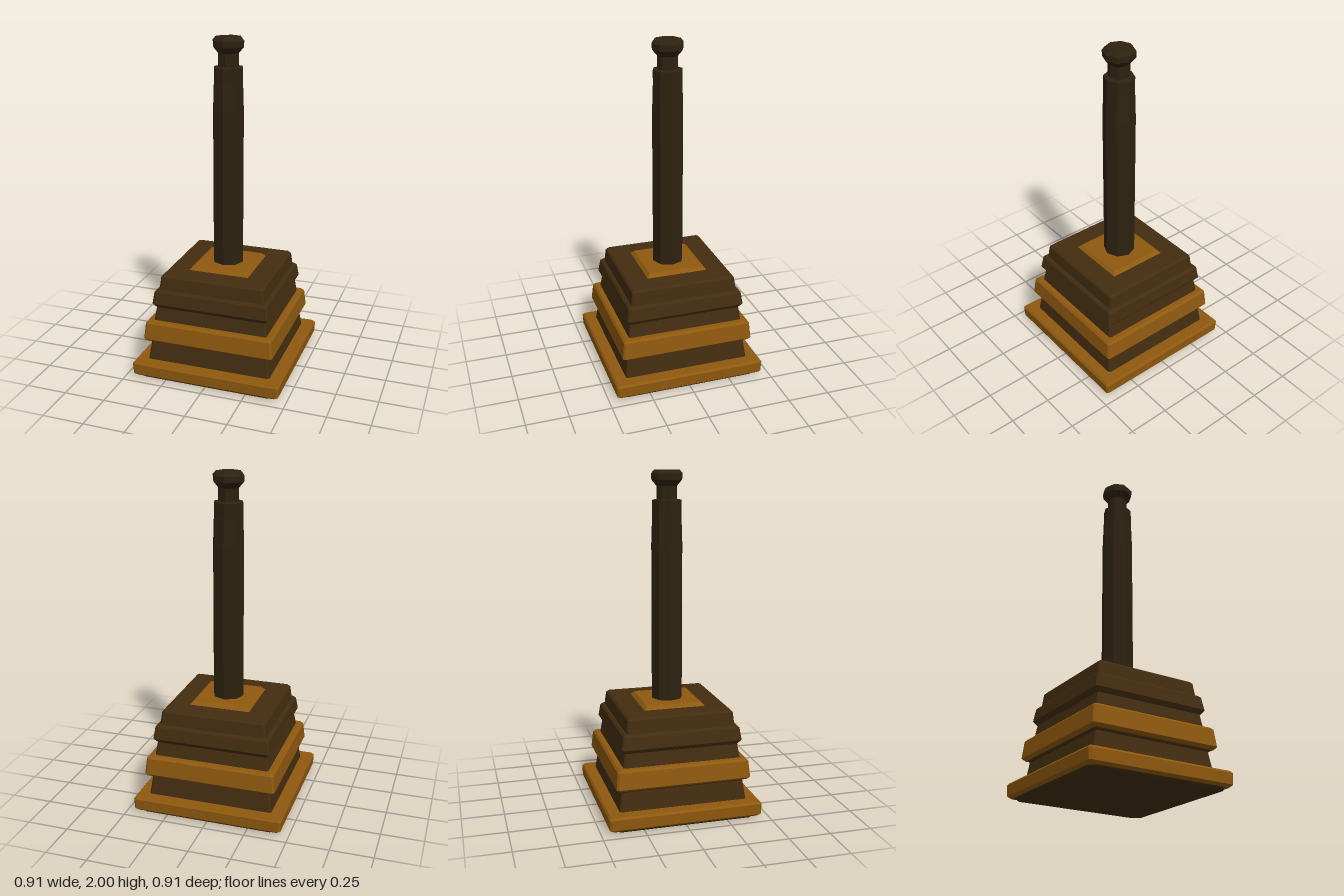
import * as THREE from 'three';

const mat = (name, color) => {
  const m = new THREE.MeshStandardMaterial({ color });
  m.name = name;
  return m;
};

// Octagonal turned solid, from [radius, height] points listed bottom to top
function turned(profile) {
  return new THREE.LatheGeometry(profile.map(([r, y]) => new THREE.Vector2(r, y)), 8);
}

// Square tier with clipped corners: the eight sides of a turned solid are moved onto a square
function tier(profile, clip = 0.01) {
  const closed = [[0, profile[0][1]], ...profile, [0, profile[profile.length - 1][1]]];
  const geo = turned(closed);
  const pos = geo.attributes.position;
  const n = closed.length;
  for (let i = 0; i < pos.count; i++) {
    const [h, y] = closed[i % n];
    const side = Math.floor(i / n) % 8;
    const c = Math.max(h - clip, 0);
    const [x, z] = [[c, h], [h, c], [h, -c], [c, -h], [-c, -h], [-h, -c], [-h, c], [-c, h]][side];
    pos.setXYZ(i, h ? x : 0, y, h ? z : 0);
  }
  return geo;
}

export function createModel() {
  const group = new THREE.Group();
  const amber = mat('amber wood', 0x8f590f);
  const brown = mat('dark brown wood', 0x432d10);
  const black = mat('blackened wood', 0x2e2211);

  const add = (name, geo, material) => {
    const flat = geo.toNonIndexed();
    flat.computeVertexNormals();
    const mesh = new THREE.Mesh(flat, material);
    mesh.name = name;
    group.add(mesh);
  };

  // Stepped square plinth, bottom to top
  add('footPad', tier([[0.425, 0], [0.435, 0.012]], 0.04), brown);
  add('basePlate', tier([[0.435, 0.01], [0.452, 0.025], [0.455, 0.088], [0.445, 0.1]]), amber);
  add('lowerTier', tier([[0.38, 0.1], [0.364, 0.212], [0.375, 0.228]]), brown);
  add('middleBand', tier([[0.385, 0.225], [0.4, 0.24], [0.39, 0.338], [0.378, 0.35]]), amber);
  add('upperTier', tier([[0.35, 0.35], [0.337, 0.435]]), brown);
  add('upperLip', tier([[0.34, 0.432], [0.358, 0.457], [0.347, 0.53], [0.335, 0.542]]), brown);
  add('topTier', tier([[0.324, 0.54], [0.315, 0.618], [0.304, 0.63]]), brown);
  add('postSocket', tier([[0.185, 0.63], [0.165, 0.65]], 0.005), amber);

  // Octagonal post with a narrow neck and a knob
  add('post', turned([[0, 0.64], [0.094, 0.64], [0.094, 1.58], [0.088, 1.75], [0.088, 1.83], [0.06, 1.835]]), black);
  add('neck', turned([[0.062, 1.8], [0.062, 1.915]]), black);
  add('knob', turned([[0.062, 1.91], [0.092, 1.945], [0.094, 1.98], [0.077, 2], [0, 2]]), black);

  return group;
}
